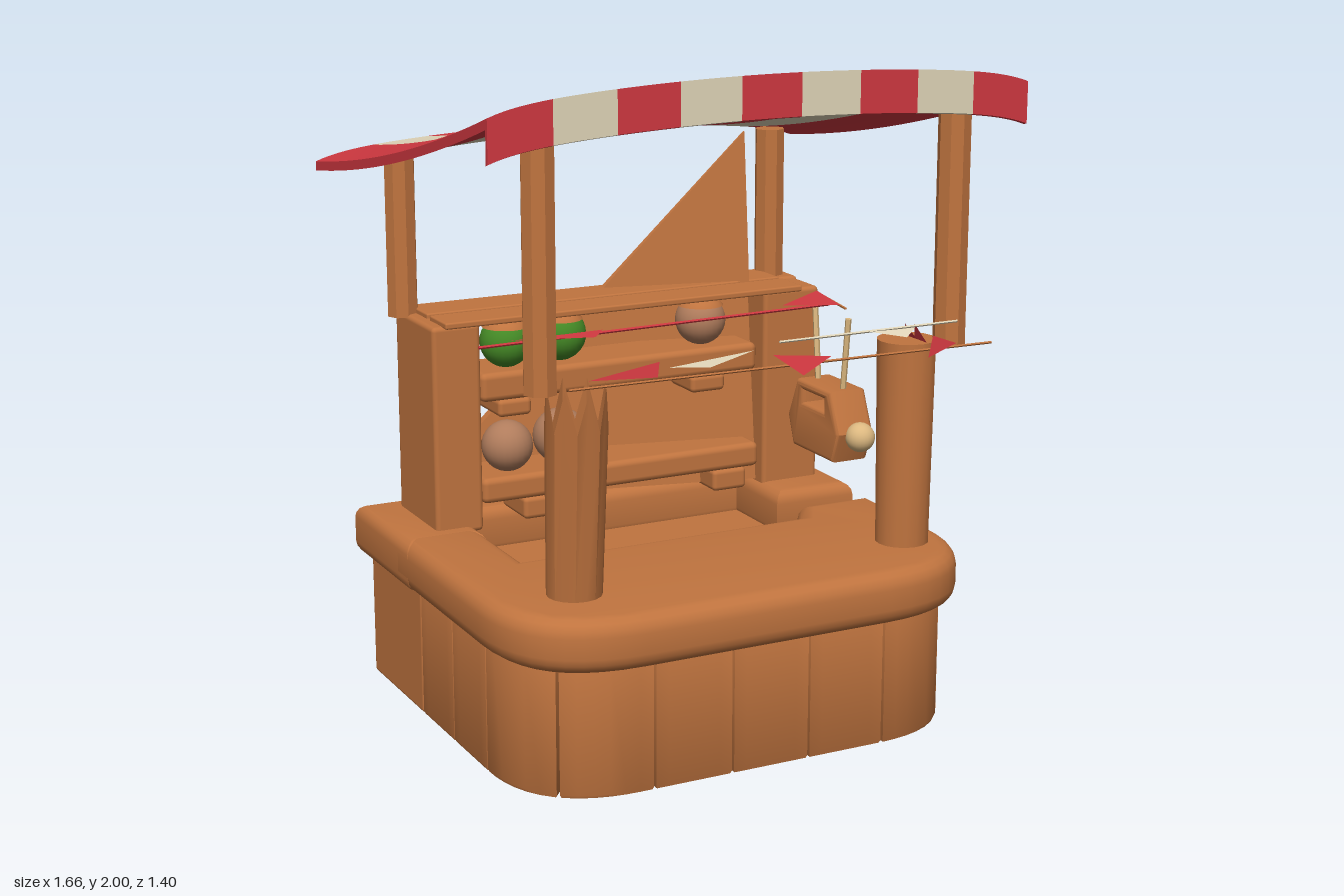
import * as THREE from 'three';
import { toCreasedNormals } from 'three/addons/utils/BufferGeometryUtils.js';
import { RoundedBoxGeometry } from 'three/addons/geometries/RoundedBoxGeometry.js';
import { ConvexGeometry } from 'three/addons/geometries/ConvexGeometry.js';

const V = (x, y, z) => new THREE.Vector3(x, y, z);

function material(name, color, side = THREE.FrontSide) {
  const m = new THREE.MeshStandardMaterial({ color, side });
  m.name = name;
  return m;
}

export function createModel() {
  const wood = material('wood', 0xc0743f, THREE.DoubleSide);
  const red = material('red cloth', 0xd03840, THREE.DoubleSide);
  const cream = material('cream cloth', 0xe2d6b9, THREE.DoubleSide);
  const green = material('green melon', 0x458a26);
  const clay = material('clay', 0xb07c5c);
  const paleWood = material('pale wood', 0xdcb880);

  const model = new THREE.Group();
  model.name = 'marketStall';

  const add = (name, geo, mat, x = 0, y = 0, z = 0) => {
    const mesh = new THREE.Mesh(geo, mat);
    mesh.name = name;
    mesh.position.set(x, y, z);
    model.add(mesh);
    return mesh;
  };
  // Rounded board given by its limits
  const board = (name, x0, x1, y0, y1, z0, z1, r = 0.015) =>
    add(name, new RoundedBoxGeometry(x1 - x0, y1 - y0, z1 - z0, 2, r), wood,
      (x0 + x1) / 2, (y0 + y1) / 2, (z0 + z1) / 2);
  // Slab from a plan outline (shape y = -z), standing between y0 and y1
  const slab = (name, shape, y0, y1, bevel, steps) => {
    const geo = new THREE.ExtrudeGeometry(shape, {
      depth: y1 - y0 - 2 * bevel, bevelEnabled: true, bevelThickness: bevel,
      bevelSize: bevel, bevelOffset: -bevel, bevelSegments: steps, curveSegments: 10,
    });
    geo.rotateX(-Math.PI / 2);
    return add(name, toCreasedNormals(geo, 0.6), wood, 0, y0 + bevel, 0);
  };
  // Straight rod between two points
  const rod = (name, a, b, r, mat, sides = 5) => {
    const geo = toCreasedNormals(new THREE.CylinderGeometry(r, r, a.distanceTo(b), sides), 0.6);
    const mesh = add(name, geo, mat);
    mesh.position.copy(a).lerp(b, 0.5);
    mesh.quaternion.setFromUnitVectors(V(0, 1, 0), b.clone().sub(a).normalize());
    return mesh;
  };

  // Plank wall of the front base, following a U with rounded front corners
  const path = new THREE.Path();
  path.moveTo(0.67, 0);
  path.lineTo(0.67, -0.3);
  path.quadraticCurveTo(0.67, -0.58, 0.39, -0.58);
  path.lineTo(-0.39, -0.58);
  path.quadraticCurveTo(-0.67, -0.58, -0.67, -0.3);
  path.lineTo(-0.67, 0.2);
  const planks = 10;
  for (let i = 0; i < planks; i++) {
    const outer = [], inner = [];
    for (let k = 0; k <= 6; k++) {
      const t = (i + 0.015 + 0.97 * k / 6) / planks;
      const p = path.getPointAt(t), d = path.getTangentAt(t);
      const n = new THREE.Vector2(-d.y, d.x).multiplyScalar(0.05);
      outer.push(p.clone().add(n));
      inner.unshift(p.clone().sub(n));
    }
    slab('basePlank', new THREE.Shape(outer.concat(inner)), 0, 0.42, 0.012, 2);
  }
  board('backBase', -0.72, 0.72, 0, 0.42, -0.62, -0.2, 0.012);

  // Counter: front piece with a left arm, then the back piece
  const front = new THREE.Shape();
  front.moveTo(0.74, 0.02);
  front.lineTo(0.74, -0.34);
  front.quadraticCurveTo(0.74, -0.7, 0.38, -0.7);
  front.lineTo(-0.4, -0.7);
  front.quadraticCurveTo(-0.76, -0.7, -0.76, -0.34);
  front.lineTo(-0.76, 0.28);
  front.lineTo(-0.5, 0.28);
  front.lineTo(-0.5, -0.08);
  front.lineTo(0.42, -0.08);
  front.lineTo(0.48, 0.02);
  slab('frontCounter', front, 0.39, 0.55, 0.05, 4);
  const back = new THREE.Shape([[0.76, 0.15], [0.76, 0.65], [-0.76, 0.65], [-0.76, 0.2],
    [-0.5, 0.2], [-0.5, 0.42], [0.48, 0.42], [0.48, 0.15]].map(p => new THREE.Vector2(...p)));
  slab('backCounter', back, 0.39, 0.55, 0.04, 4);

  // Front pillars: the left one leaning and splintered, the right one whole and upright
  const pillar = (name, x, leanX, leanZ, jagged) => {
    const geo = new THREE.CylinderGeometry(0.088, 0.08, 0.62, 16, 1, jagged);
    const p = geo.attributes.position;
    for (let i = 0; i < p.count; i++) {
      if (p.getY(i) < 0) continue;
      const a = Math.round(Math.atan2(p.getZ(i), p.getX(i)) / (Math.PI / 8));
      p.setX(i, p.getX(i) + leanX);
      p.setZ(i, p.getZ(i) + leanZ);
      if (jagged) p.setY(i, a % 2 ? 0.19 : 0.31);
    }
    add(name, toCreasedNormals(geo, 0.6), wood, x, 0.86, 0.437);
  };
  pillar('splitFrontPillar', -0.505, -0.018, 0.062, true);
  pillar('frontPillar', 0.575, 0, 0, false);

  // Back pillars
  board('backPillarInner', 0.5, 0.7, 0.53, 1.18, -0.43, -0.28);
  board('backPillarOuter', 0.55, 0.72, 0.53, 1.18, -0.61, -0.45);
  board('backPillarFar', -0.635, -0.48, 0.53, 1.18, -0.58, -0.27);

  // Canopy posts
  for (const [x, z, y1] of [[-0.65, 0.545, 1.9], [0.65, 0.545, 1.9], [-0.63, -0.525, 1.66], [0.65, -0.525, 1.66]])
    rod('canopyPost', V(x, 1.17, z), V(x, y1, z), 0.048, wood, 8);

  // Striped canopy, sagging to the back and arched across
  const roofY = (x, z) => {
    const u = (0.64 - z) / 1.345, s = Math.abs(x) / 0.83;
    return 2 - 0.43 * u + 0.13 * u * u - 0.045 * s * s - 0.022 * s ** 10;
  };
  const bend = (geo, x, z, drop) => {
    geo.translate(x, drop, z);
    const p = geo.attributes.position;
    for (let i = 0; i < p.count; i++) p.setY(i, p.getY(i) + roofY(p.getX(i), p.getZ(i)));
    geo.computeVertexNormals();
    return geo;
  };
  const w = 1.66 / 9;
  for (let i = -4; i <= 4; i++) {
    const mat = i % 2 ? cream : red;
    add('canopyStripe', bend(new THREE.BoxGeometry(w, 0.028, 1.345, 8, 1, 18), i * w, -0.0325, -0.014), mat);
    add('valance', bend(new THREE.BoxGeometry(w, 0.12, 0.012, 8, 1, 1), i * w, 0.634, -0.06), mat);
  }

  // Leaning broken wall panels at the back
  const shard = (name, pts, t) => add(name, toCreasedNormals(new ConvexGeometry(
    pts.flatMap(([x, y, z, k]) => [V(x, y, z), V(x, y, z + t * k)])), 0.3), wood);
  shard('leaningPanel', [[0.51, 1.67, -0.45, 0.05], [-0.6, 0.55, -0.62, 0.2], [0.5, 0.55, -0.5, 1]], 0.17);
  shard('backPanel', [[0.6, 1.62, -0.635, 0.3], [0.64, 0.53, -0.645, 1], [0.12, 0.53, -0.645, 1]], 0.03);

  // Shelves with their brackets and the flat top boards
  board('upperShelf', -0.48, 0.47, 0.93, 1.02, -0.48, -0.27, 0.02);
  board('lowerShelf', -0.48, 0.48, 0.61, 0.69, -0.48, -0.27, 0.02);
  for (const [x0, x1] of [[-0.42, -0.31], [0.24, 0.36]]) {
    board('upperBracket', x0, x1, 0.875, 0.93, -0.46, -0.28, 0.015);
    board('lowerBracket', x0 + 0.08, x1 + 0.08, 0.54, 0.61, -0.46, -0.28, 0.015);
  }
  board('topBoardFront', -0.6, 0.62, 1.175, 1.195, -0.38, -0.25, 0.006);
  board('topBoardBack', -0.6, 0.62, 1.175, 1.195, -0.55, -0.4, 0.006);

  // Goods on the shelves
  const ball = (name, x, y, z, r, mat) => add(name, new THREE.SphereGeometry(r, 24, 16), mat, x, y, z);
  ball('melon', -0.37, 1.1, -0.34, 0.08, green);
  ball('melon', -0.19, 1.105, -0.34, 0.083, green);
  ball('pot', 0.3, 1.1, -0.34, 0.08, clay);
  ball('pot', -0.37, 0.77, -0.34, 0.08, clay);
  ball('pot', -0.19, 0.78, -0.34, 0.087, clay);
  for (const [x, y] of [[-0.37, 1.1], [-0.19, 1.105], [0.3, 1.1]])
    add('stalkCap', new THREE.SphereGeometry(0.086, 20, 5, 0, Math.PI * 2, 0, 1), wood, x, y, -0.34);

  // Hanging carved box facing +x, with a handle slot
  const body = new THREE.Shape([[-0.12, 0.715], [0.12, 0.715], [0.155, 0.81], [0.1, 0.935], [-0.1, 0.935],
    [-0.155, 0.81]].map(p => new THREE.Vector2(...p)));
  body.holes.push(new THREE.Path([[-0.065, 0.865], [-0.065, 0.905], [0.065, 0.905], [0.065, 0.865]]
    .map(p => new THREE.Vector2(...p))));
  const bodyGeo = new THREE.ExtrudeGeometry(body, {
    depth: 0.1, bevelThickness: 0.015, bevelSize: 0.015, bevelOffset: -0.015, bevelSegments: 3,
  });
  bodyGeo.rotateY(Math.PI / 2);
  add('hangingBox', toCreasedNormals(bodyGeo, 0.6), wood, 0.53, 0, 0);
  const disc = (name, r, x, mat) => {
    const mesh = add(name, new THREE.CylinderGeometry(r, r, 0.008, 24), mat, x, 0.79, 0);
    mesh.rotation.z = Math.PI / 2;
    return mesh;
  };
  disc('boxFace', 0.07, 0.647, paleWood).scale.z = 1.5;
  disc('boxRing', 0.036, 0.652, wood);
  ball('boxKnob', 0.642, 0.785, 0, 0.026, paleWood);
  for (const s of [-1, 1]) {
    ball('sideKnob', 0.59, 0.8, s * 0.165, 0.046, paleWood);
    rod('hangingStrap', V(0.58, 0.93, s * 0.075), V(0.58, 1.16, s * 0.1), 0.01, paleWood);
  }

  // Bunting: strings with fallen pennants along the front and over the inside
  rod('frontString', V(-0.6, 1.19, 0.62), V(0.72, 1.19, 0.66), 0.004, wood);
  rod('middleString', V(-0.6, 1.175, 0), V(0.6, 1.175, -0.05), 0.005, red);
  rod('sideString', V(0.6, 1.18, 0.05), V(0.64, 1.18, -0.18), 0.004, wood);
  rod('upperString', V(0.02, 1.265, 0.66), V(0.6, 1.265, 0.66), 0.004, cream);
  const pennant = (mat, a, b, c) => {
    const geo = new THREE.BufferGeometry().setFromPoints([V(...a), V(...b), V(...c)]);
    geo.computeVertexNormals();
    add('pennant', geo, mat);
  };
  pennant(red, [-0.36, 1.21, 0.67], [-0.35, 1.25, 0.66], [-0.56, 1.22, 0.66]);
  pennant(cream, [-0.2, 1.22, 0.67], [-0.06, 1.25, 0.66], [-0.32, 1.23, 0.66]);
  pennant(red, [0.08, 1.17, 0.69], [0.18, 1.21, 0.67], [0, 1.23, 0.66]);
  pennant(cream, [0.42, 1.24, 0.68], [0.46, 1.26, 0.66], [0.28, 1.27, 0.66]);
  pennant(red, [0.5, 1.17, 0.67], [0.6, 1.2, 0.66], [0.52, 1.23, 0.66]);
  pennant(red, [0.6, 1.16, 0.52], [0.6, 1.16, 0.44], [0.58, 1.22, 0.47]);
  pennant(red, [0.6, 1.16, 0.47], [0.6, 1.16, 0.39], [0.58, 1.21, 0.42]);
  pennant(red, [0.6, 1.185, 0.02], [0.62, 1.195, -0.16], [0.44, 1.185, -0.06]);
  pennant(red, [-0.25, 1.18, 0.05], [-0.2, 1.185, -0.01], [-0.5, 1.185, 0]);

  return model;
}
